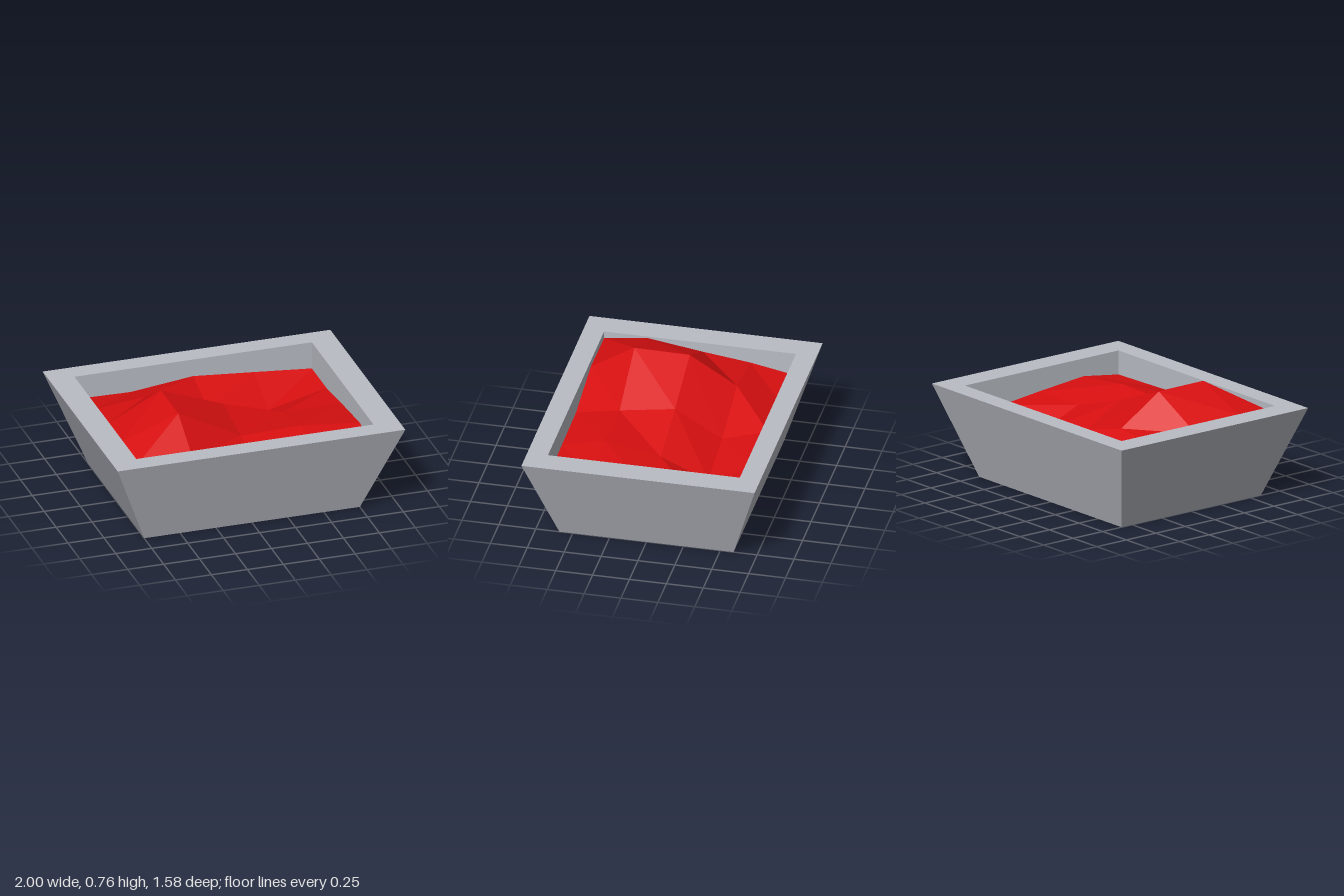
import * as THREE from 'three';

const grey = new THREE.MeshStandardMaterial({ color: 0xb9bcc4, flatShading: true });
grey.name = 'stone grey';
const red = new THREE.MeshStandardMaterial({ color: 0xd80f10, flatShading: true });
red.name = 'powder red';

// Skin a stack of rectangular loops [halfX, y, halfZ]; both ends are capped
function rectLoft(loops) {
  const pos = [], index = [];
  for (const [x, y, z] of loops) pos.push(-x, y, z, x, y, z, x, y, -z, -x, y, -z);
  const quad = (a, b, c, d) => index.push(a, b, c, a, c, d);
  for (let l = 0; l < loops.length - 1; l++) {
    for (let k = 0; k < 4; k++) {
      const a = l * 4 + k, b = l * 4 + (k + 1) % 4;
      quad(a, b, b + 4, a + 4);
    }
  }
  const e = (loops.length - 1) * 4;
  quad(3, 2, 1, 0);
  quad(e, e + 1, e + 2, e + 3);
  const g = new THREE.BufferGeometry();
  g.setAttribute('position', new THREE.Float32BufferAttribute(pos, 3));
  g.setIndex(index);
  const flat = g.toNonIndexed();
  flat.computeVertexNormals();
  return flat;
}

// Lumpy fill: a 5 x 5 height grid, rows run back to front, columns -x to +x
function moundGeometry() {
  const xs = [-0.825, -0.435, 0, 0.42, 0.825];
  const zs = [-0.65, -0.34, -0.02, 0.355, 0.65];
  const heights = [
    [0.457, 0.45, 0.5, 0.465, 0.43],
    [0.515, 0.56, 0.405, 0.33, 0.43],
    [0.555, 0.755, 0.59, 0.465, 0.465],
    [0.61, 0.76, 0.53, 0.54, 0.5],
    [0.57, 0.578, 0.475, 0.465, 0.457],
  ];
  const g = new THREE.PlaneGeometry(1, 1, 4, 4);
  const p = g.attributes.position;
  for (let i = 0; i < p.count; i++) {
    const row = Math.floor(i / 5), col = i % 5;
    p.setXYZ(i, xs[col], heights[row][col], zs[row]);
  }
  const flat = g.toNonIndexed();
  flat.computeVertexNormals();
  return flat;
}

export function createModel() {
  const group = new THREE.Group();
  group.name = 'filledTub';

  // Tapered tub with a thick flat rim and straight inner walls
  const tub = new THREE.Mesh(rectLoft([
    [0.75, 0, 0.59],
    [1, 0.622, 0.79],
    [0.825, 0.622, 0.65],
    [0.825, 0.2, 0.65],
  ]), grey);
  tub.name = 'tub';

  // Heaped contents
  const mound = new THREE.Mesh(moundGeometry(), red);
  mound.name = 'contents';

  group.add(tub, mound);
  return group;
}
